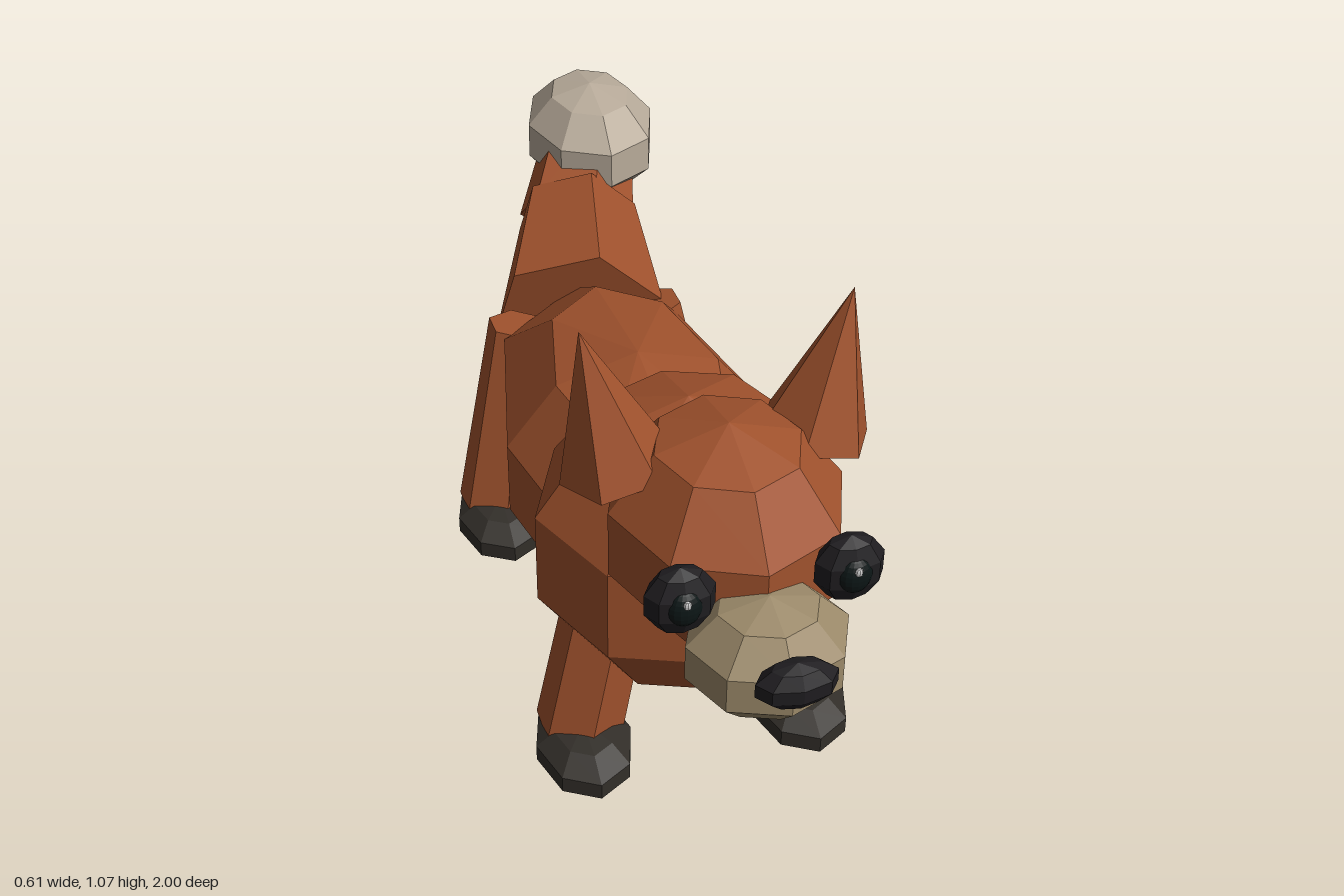
import * as THREE from 'three';

const paint = (color) => new THREE.MeshStandardMaterial({ color, flatShading: true });

export function createModel() {
  const model = new THREE.Group();
  const fur = paint(0xa0522d), cream = paint(0x9c8a6a), pale = paint(0xb8ab9a);
  const dark = paint(0x322e29), black = paint(0x1f1d20), pupilMat = paint(0x0c1616), white = paint(0xdddddd);

  const add = (name, geometry, material) => {
    const mesh = new THREE.Mesh(geometry, material);
    mesh.name = name;
    model.add(mesh);
    return mesh;
  };

  // Faceted ellipsoid with radii r around centre c
  const blob = (name, material, c, r, sides = 8, rings = 5) => {
    const mesh = add(name, new THREE.SphereGeometry(1, sides, rings), material);
    mesh.position.set(...c);
    mesh.scale.set(...r);
    return mesh;
  };

  // Six-sided tapered limb from a (radius ra) to b (radius rb)
  const limb = (name, a, b, ra, rb, turn = 0) => {
    const from = new THREE.Vector3(...a), to = new THREE.Vector3(...b);
    const axis = to.clone().sub(from);
    const geometry = new THREE.CylinderGeometry(rb, ra, axis.length(), 6).rotateY(turn);
    const mesh = add(name, geometry, fur);
    mesh.position.copy(from).add(to).multiplyScalar(0.5);
    mesh.quaternion.setFromUnitVectors(new THREE.Vector3(0, 1, 0), axis.normalize());
    return mesh;
  };

  // Torso and head
  blob('body', fur, [0, 0.42, 0.07], [0.273, 0.25, 0.52]);
  blob('chest', fur, [0, 0.485, 0.385], [0.295, 0.307, 0.273]);
  blob('head', fur, [0, 0.68, 0.6], [0.216, 0.212, 0.23]);
  blob('muzzle', cream, [0, 0.6, 0.825], [0.147, 0.111, 0.135]);
  blob('nose', black, [0, 0.648, 0.962], [0.073, 0.043, 0.038]);

  for (const s of [1, -1]) {
    const side = s > 0 ? 'left' : 'right';

    // Eye
    blob(side + 'Eye', black, [s * 0.143, 0.72, 0.802], [0.063, 0.065, 0.04]);
    blob(side + 'Pupil', pupilMat, [s * 0.143, 0.722, 0.825], [0.03, 0.036, 0.022], 16, 12);
    blob(side + 'EyeHighlight', white, [s * 0.143, 0.74, 0.843], [0.007, 0.009, 0.005], 8, 6);

    // Ear
    const ear = add(side + 'Ear', new THREE.ConeGeometry(0.1, 0.28, 6).rotateY(Math.PI / 6), fur);
    ear.position.set(s * 0.203, 0.933, 0.535);
    ear.rotation.set(-0.03, 0, -s * 0.21);

    // Legs and paws
    limb(side + 'FrontLeg', [s * 0.213, 0.07, 0.407], [s * 0.135, 0.45, 0.39], 0.085, 0.078);
    limb(side + 'RearLeg', [s * 0.213, 0.07, -0.285], [s * 0.145, 0.5, -0.322], 0.085, 0.062);
    blob(side + 'FrontPaw', dark, [s * 0.215, 0.06, 0.45], [0.097, 0.056, 0.136]);
    blob(side + 'RearPaw', dark, [s * 0.215, 0.06, -0.242], [0.097, 0.056, 0.136]);
  }

  // Tail, swung to the left with a pale tip
  limb('tailBase', [0, 0.45, -0.38], [0.075, 0.515, -0.675], 0.185, 0.133);
  limb('tailEnd', [0.075, 0.51, -0.68], [0.143, 0.635, -0.83], 0.13, 0.1);
  blob('tailTip', pale, [0.145, 0.64, -0.818], [0.148, 0.124, 0.191]);

  return model;
}
